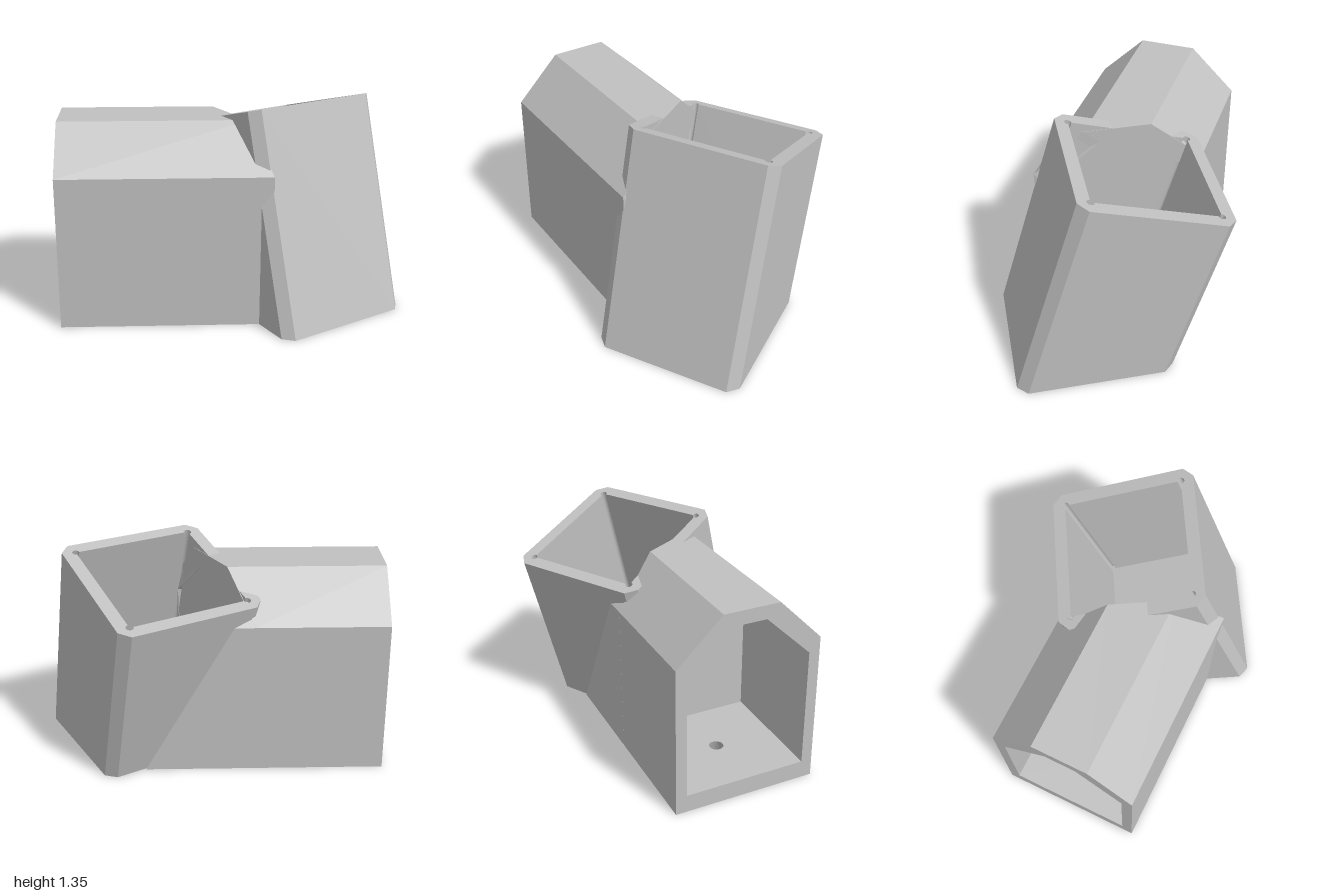
import * as THREE from 'three';
import { ConvexGeometry } from 'three/addons/geometries/ConvexGeometry.js';

const grey = new THREE.MeshStandardMaterial({ color: 0xc0c0c0 });
grey.name = 'plain grey';

const shapeOf = pts => new THREE.Shape(pts.map(p => new THREE.Vector2(...p)));

// Moves every vertex by a rule, then restores flat normals
function reshape(geometry, rule) {
  const g = geometry.index ? geometry.toNonIndexed() : geometry;
  const p = g.attributes.position, v = new THREE.Vector3();
  for (let i = 0; i < p.count; i++) {
    rule(v.fromBufferAttribute(p, i));
    p.setXYZ(i, v.x, v.y, v.z);
  }
  g.computeVertexNormals();
  return g;
}

function add(parent, name, geometry) {
  const mesh = new THREE.Mesh(geometry, grey);
  mesh.name = name;
  parent.add(mesh);
  return mesh;
}

// Open-topped square cup, leaning back and cut level at the ground
function buildCup() {
  const cup = new THREE.Group();
  cup.name = 'leaningCup';
  const lean = 0.292, height = 1.2175;
  cup.position.set(0.535, height, 0.01);
  cup.rotation.x = -lean;

  const w = 0.465, d = 0.46, c = 0.06;
  const outline = shapeOf([
    [w, c - d], [w, d - c], [w - c, d], [c - w, d],
    [-w, d - c], [-w, c - d], [c - w, -d], [w - c, -d]]);

  // Opening with a round relief in each corner
  const opening = new THREE.Shape();
  const corners = [[1, 1], [-1, 1], [-1, -1], [1, -1]];
  corners.forEach(([sx, sz], i) => {
    const start = (i - 1) * Math.PI / 2;
    opening.absarc(sx * 0.383, sz * 0.38, 0.022, start, start + Math.PI * 1.5, false);
  });
  outline.holes.push(opening);

  const toGround = v => { v.y = -(height + v.z * Math.sin(lean)) / Math.cos(lean); };
  const walls = new THREE.ExtrudeGeometry(outline, { depth: 1, bevelEnabled: false, curveSegments: 8 });
  walls.rotateX(-Math.PI / 2).translate(0, -1, 0);
  add(cup, 'cupWalls', reshape(walls, v => { if (v.y < -0.5) toGround(v); }));

  add(cup, 'cupFloor', new THREE.ShapeGeometry(opening, 8).rotateX(-Math.PI / 2).translate(0, -1, 0));
  add(cup, 'cupUnderside', reshape(new THREE.ShapeGeometry(opening, 8).rotateX(Math.PI / 2), toGround));
  return cup;
}

// House-shaped pocket, turned 30 degrees, running into the side of the cup
function buildPocket() {
  const pocket = new THREE.Group();
  pocket.name = 'housePocket';
  const k = Math.sqrt(3) / 2;
  pocket.applyMatrix4(new THREE.Matrix4().makeBasis(
    new THREE.Vector3(-0.5, 0, k), new THREE.Vector3(0, 1, 0), new THREE.Vector3(-k, 0, -0.5)
  ).setPosition(-0.54, 0, -0.86));

  // Length of the pocket at offset a, ending inside the cup's wall
  const reach = a => ((a > 0.9 ? 0.135 : 0.155) + 0.54 + 0.5 * a) / k;
  const inner = [[0.07, 0], [0.07, 0.88], [0.364, 1.16], [0.56, 1.16], [0.853, 0.88], [0.853, 0]];
  const arch = shapeOf([[0, 0], ...inner, [0.923, 0], [0.923, 0.968], [0.643, 1.247], [0.287, 1.247], [0, 0.968]]);
  const shell = new THREE.ExtrudeGeometry(arch, { depth: 1, bevelEnabled: false }).translate(0, 0, -1);
  add(pocket, 'pocketWallsAndRoof', reshape(shell, v => { if (v.z < -0.5) v.z = -reach(v.x); }));
  add(pocket, 'pocketEndWall', new THREE.ShapeGeometry(shapeOf(inner)).translate(0, 0, -0.77));

  // Floor slab with a countersunk screw hole
  const slab = shapeOf([[0.07, 0], [0.853, 0], [0.853, reach(0.853)], [0.07, reach(0.07)]]);
  const cx = 0.4615, cz = 0.38;
  slab.holes.push(new THREE.Path().absarc(cx, cz, 0.045, 0, Math.PI * 2, true));
  const floor = new THREE.ExtrudeGeometry(slab, { depth: 0.115, bevelEnabled: false, curveSegments: 16 });
  floor.rotateX(-Math.PI / 2);
  add(pocket, 'pocketFloor', reshape(floor, v => {
    if (v.y < 0.01 && Math.hypot(v.x - cx, v.z + cz) < 0.06) {
      v.x = cx + (v.x - cx) * 1.9;
      v.z = -cz + (v.z + cz) * 1.9;
    }
  }));
  return pocket;
}

export function createModel() {
  const model = new THREE.Group();
  model.name = 'angledHolder';
  model.add(buildCup(), buildPocket());

  // Solid wedge where the pocket's rear wall runs under the leaning cup
  const wedge = [
    [0.15, 0, -0.462], [0.15, 0.968, -0.462], [0.75, 0, -0.115], [0.266, 0.968, -0.395],
    [0.15, 1.009, -0.413], [0.15, 0, -0.1]];
  add(model, 'rearWedge', new ConvexGeometry(wedge.map(p => new THREE.Vector3(...p))));
  return model;
}
